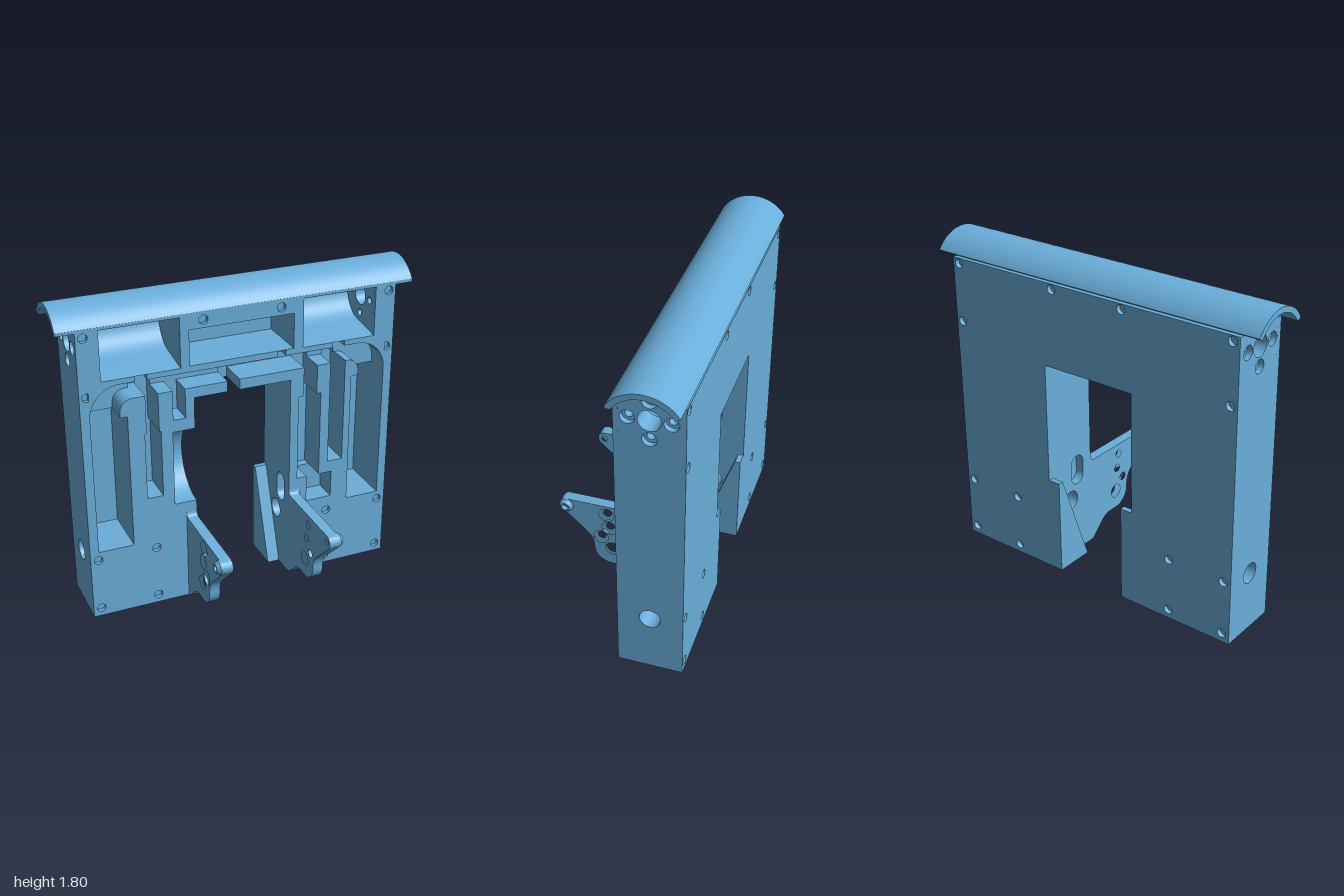
import * as THREE from 'three';
import { mergeGeometries, toCreasedNormals } from 'three/addons/utils/BufferGeometryUtils.js';

const FRONT = -0.085, BACK = -0.435, SKIN = 0.025;
const material = new THREE.MeshStandardMaterial({ color: 0x6aaedb });

function add(group, name, geometry) {
  const mesh = new THREE.Mesh(geometry, material);
  mesh.name = name;
  group.add(mesh);
  return mesh;
}

const poly = (pts) => new THREE.Shape(pts.map(([x, y]) => new THREE.Vector2(x, y)));
const rect = (x0, x1, y0, y1) => poly([[x0, y0], [x1, y0], [x1, y1], [x0, y1]]);

// Cut round holes [x, y, radius] into a shape
function drill(shape, holes) {
  for (const [x, y, r] of holes) {
    shape.holes.push(new THREE.Path().absarc(x, y, r, 0, Math.PI * 2, true));
  }
  return shape;
}

function extrude(shape, depth) {
  const g = new THREE.ExtrudeGeometry(shape, { depth, bevelEnabled: false, curveSegments: 24 });
  return toCreasedNormals(g, 0.5);
}
// Extrude an (x, y) shape from z0 to z1
const alongZ = (shape, z0, z1) => extrude(shape, z1 - z0).translate(0, 0, z0);
// Extrude a (-z, y) profile from x0 to x1
const alongX = (shape, x0, x1) => extrude(shape, x1 - x0).rotateY(Math.PI / 2).translate(x0, 0, 0);
// The same on side s (1 = left, -1 = right)
const sideX = (shape, s, x0, x1) => (s > 0 ? alongX(shape, x0, x1) : alongX(shape, -x1, -x0));

// Upper body profile with a rounded top
function domeProfile() {
  const s = new THREE.Shape();
  s.moveTo(0.11, 1.41);
  s.lineTo(0.41, 1.41);
  s.lineTo(0.41, 1.69);
  s.absarc(0.26, 1.59, 0.18, Math.asin(0.1 / 0.18), Math.PI - Math.asin(0.1 / 0.18), false);
  s.closePath();
  return s;
}

// Upper body profile with a round bay open to the front
function bayProfile() {
  const a = Math.asin(0.1 / 0.18), s = new THREE.Shape();
  s.moveTo(0.085, 1.41);
  s.lineTo(0.41, 1.41);
  s.lineTo(0.41, 1.69);
  s.absarc(0.26, 1.59, 0.18, a, Math.PI - a, false);
  s.absarc(0.26, 1.59, 0.155, Math.PI * 0.8, -Math.PI / 2, true);
  s.closePath();
  return s;
}

function roofProfile() {
  const a = Math.acos(0.175 / 0.21), b = Math.asin(0.1 / 0.18), s = new THREE.Shape();
  s.moveTo(0.435, 1.69);
  s.absarc(0.26, 1.59, 0.21, a, Math.PI - a, false);
  s.lineTo(0.085, 1.69);
  s.absarc(0.26, 1.59, 0.18, Math.PI - b, b, true);
  s.closePath();
  return s;
}

// Bracket arm profile with its holes
function armProfile(boltRadius) {
  const s = new THREE.Shape();
  s.moveTo(0.085, 0);
  s.quadraticCurveTo(0.07, 0, 0.055, 0.015);
  s.lineTo(-0.02, 0.085);
  s.quadraticCurveTo(-0.05, 0.11, -0.09, 0.11);
  s.lineTo(-0.14, 0.11);
  s.absarc(-0.145, 0.21, 0.1, -Math.PI / 2, -Math.PI, true);
  s.quadraticCurveTo(-0.245, 0.27, -0.28, 0.305);
  s.lineTo(-0.427, 0.445);
  s.absarc(-0.4, 0.475, 0.04, -2.3, -Math.PI * 1.5, true);
  s.lineTo(0.05, 0.515);
  s.quadraticCurveTo(0.085, 0.515, 0.085, 0.55);
  s.closePath();
  const bolts = [[-0.17, 0.455], [-0.155, 0.365], [-0.205, 0.29]];
  return drill(s, [...bolts.map(([u, v]) => [u, v, boltRadius]), [-0.14, 0.22, 0.04], [-0.4, 0.475, 0.018]]);
}

// Vertical slot on the inner walls
function slot(shape) {
  const p = new THREE.Path();
  p.absarc(0.2, 0.55, 0.05, 0, Math.PI, false);
  p.absarc(0.2, 0.475, 0.05, Math.PI, Math.PI * 2, false);
  p.closePath();
  shape.holes.push(p);
  return shape;
}

// Middle of the body: a grid of boxes, each rising to the floor of its pocket
function pocketedBody(pockets, x0, x1, y0, y1) {
  const cuts = (a, b, i) => [...new Set([a, b, ...pockets.flatMap((p) => [p[i], p[i + 1]])])]
    .filter((v) => v >= a && v <= b).sort((m, n) => m - n);
  const xs = cuts(x0, x1, 0), ys = cuts(y0, y1, 2), boxes = [];
  const floorAt = (x, y) => pockets.reduce((f, p) =>
    (x > p[0] && x < p[1] && y > p[2] && y < p[3] ? Math.min(f, p[4]) : f), FRONT);
  const z0 = BACK + SKIN;
  for (let j = 0; j < ys.length - 1; j++) {
    const y = (ys[j] + ys[j + 1]) / 2;
    for (let i = 0; i < xs.length - 1;) {
      const floor = floorAt((xs[i] + xs[i + 1]) / 2, y);
      let k = i + 1;
      while (k < xs.length - 1 && floorAt((xs[k] + xs[k + 1]) / 2, y) === floor) k++;
      if (floor > z0) {
        boxes.push(new THREE.BoxGeometry(xs[k] - xs[i], ys[j + 1] - ys[j], floor - z0)
          .translate((xs[i] + xs[k]) / 2, y, (floor + z0) / 2));
      }
      i = k;
    }
  }
  return mergeGeometries(boxes);
}

export function createModel() {
  const model = new THREE.Group();
  const deep = -0.385, mid = -0.27, shallow = -0.22, open = -1;
  const boltR = 0.025, zf = FRONT - SKIN, zb = BACK + SKIN;

  // Pockets and channels: x0, x1, y0, y1, floor
  const pockets = [
    [-0.28, 0.28, 0.41, 1.23, open], [-0.405, -0.28, 0.41, 1.1, open], [0.28, 0.33, 0.41, 0.61, open],
    [0.52, 0.61, 0.68, 1.29, mid], [-0.56, -0.47, 0.68, 1.07, mid],
    [-0.61, 0.61, 1.29, 1.38, shallow], [-0.55, -0.48, 1.07, 1.37, mid],
    [-0.4, -0.33, 1.12, 1.29, shallow], [0.36, 0.44, 1.12, 1.37, mid],
    [0.33, 0.465, 0.61, 1.12, mid], [0.39, 0.545, 0.45, 0.61, shallow],
    [0.2, 0.25, 1.38, 1.41, shallow], [-0.09, 0.435, 1.29, 1.37, mid], [-0.09, -0.02, 1.23, 1.29, mid],
    [0.53, 0.6, 1.29, 1.41, mid], [-0.6, -0.535, 1.29, 1.41, mid],
  ];
  for (const s of [1, -1]) {
    const span = (a, b) => (s > 0 ? [a, b] : [-b, -a]);
    pockets.push([...span(0.65, 0.85), 0.41, 1.19, deep], [...span(0.61, 0.85), 1.19, 1.38, shallow],
      [...span(0.835, 0.885), 1.305, 1.365, zf]);
  }
  add(model, 'pocketedBody', pocketedBody(pockets, -0.9, 0.9, 0.41, 1.41));

  // Back plate with bolt holes
  const back = poly([[-0.9, 0], [-0.28, 0], [-0.28, 1.23], [0.28, 1.23], [0.28, 0], [0.9, 0], [0.9, 1.69], [-0.9, 1.69]]);
  for (const s of [1, -1]) {
    drill(back, [[0.86, 1.66], [0.86, 1.335], [0.22, 1.66], [0.855, 0.36], [0.52, 0.36], [0.855, 0.05], [0.52, 0.05]]
      .map(([x, y]) => [s * x, y, boltR]));
  }
  add(model, 'backPlate', alongZ(back, BACK, zb));

  // Inner wall columns, one with a round recess
  const column = new THREE.Shape();
  column.moveTo(0.085, 0.41);
  column.lineTo(0.41, 0.41);
  column.lineTo(0.41, 1.1);
  column.lineTo(0.085, 1.1);
  column.absarc(0.085, 0.83, 0.22, Math.PI / 2, -Math.PI / 2, true);
  column.closePath();
  add(model, 'recessedInnerWall', alongX(slot(column), -0.405, -0.28));
  add(model, 'slottedInnerWall', alongX(slot(rect(0.085, 0.41, 0.41, 0.61)), 0.28, 0.33));

  // Centre block with a rectangular recess
  const centre = rect(-0.35, 0.35, 1.41, 1.69);
  centre.holes.push(rect(-0.3, 0.295, 1.415, 1.615));
  add(model, 'centreFace', alongZ(drill(centre, [[0.22, 1.66, boltR], [-0.22, 1.66, boltR]]), zf, FRONT));
  const a = Math.asin(0.1 / 0.18), hollow = new THREE.Shape();
  hollow.moveTo(0.11, 1.41);
  hollow.lineTo(0.41, 1.41);
  hollow.lineTo(0.41, 1.69);
  hollow.absarc(0.26, 1.59, 0.18, a, Math.PI - a, false);
  for (const [u, v] of [[0.11, 1.615], [0.385, 1.615], [0.385, 1.415], [0.11, 1.415]]) hollow.lineTo(u, v);
  add(model, 'centreRecess', alongX(hollow, -0.3, 0.295));
  add(model, 'centreCheek', alongX(domeProfile(), 0.295, 0.35));
  add(model, 'centreCheek', alongX(domeProfile(), -0.35, -0.3));

  add(model, 'roof', alongX(roofProfile(), -1, 1));

  for (const s of [1, -1]) {
    const side = new THREE.Group();
    side.name = s > 0 ? 'leftSide' : 'rightSide';
    model.add(side);

    // Round bay and drilled end wall
    add(side, 'roundBay', sideX(bayProfile(), s, 0.35, 0.78));
    const ring = (r) => [[0.26, 1.59, 0.057], ...[0, 1, 2, 3].map((i) => [
      0.26 + 0.105 * Math.cos(i * Math.PI / 2), 1.59 + 0.105 * Math.sin(i * Math.PI / 2), r])];
    add(side, 'endWall', sideX(drill(domeProfile(), ring(0.02)), s, 0.78, 0.87));
    add(side, 'endWallCounterbores', sideX(drill(domeProfile(), ring(0.037)), s, 0.87, 0.9));
    const strip = s > 0 ? rect(0.78, 0.9, 1.41, 1.69) : rect(-0.9, -0.78, 1.41, 1.69);
    add(side, 'endWallFace', alongZ(drill(strip, [[s * 0.86, 1.66, boltR]]), zf, FRONT));

    // Bolt hole beside the arched channel
    const tile = s > 0 ? rect(0.835, 0.885, 1.305, 1.365) : rect(-0.885, -0.835, 1.305, 1.365);
    add(side, 'boltHole', alongZ(drill(tile, [[s * 0.86, 1.335, 0.024]]), zf, FRONT));

    // Rounded corners of the arched channel
    const outer = new THREE.Shape();
    outer.moveTo(s * 0.85, 1.38);
    outer.lineTo(s * 0.85, 1.21);
    outer.absarc(s * 0.68, 1.21, 0.17, s > 0 ? 0 : Math.PI, Math.PI / 2, s < 0);
    outer.closePath();
    add(side, 'archOuterCorner', alongZ(outer, shallow, FRONT));
    const inner = new THREE.Shape();
    inner.moveTo(s * 0.61, 1.19);
    inner.lineTo(s * 0.69, 1.19);
    inner.lineTo(s * 0.69, 1.22);
    inner.absarc(s * 0.62, 1.22, 0.07, s > 0 ? 0 : Math.PI, Math.PI / 2, s < 0);
    inner.lineTo(s * 0.61, 1.29);
    inner.closePath();
    add(side, 'archInnerCorner', alongZ(inner, shallow, FRONT));

    // Leg with a cross hole, bolted face and drilled sole
    add(side, 'legCore', sideX(drill(rect(0.11, 0.41, 0.02, 0.41), [[0.26, 0.34, 0.057]]), s, 0.28, 0.9));
    const face = s > 0 ? rect(0.28, 0.9, 0, 0.41) : rect(-0.9, -0.28, 0, 0.41);
    const bolts = [[0.855, 0.36], [0.52, 0.36], [0.855, 0.05], [0.52, 0.05]].map(([x, y]) => [s * x, y, boltR]);
    add(side, 'legFace', alongZ(drill(face, bolts), zf, FRONT));
    const sole = s > 0 ? rect(0.28, 0.9, 0.11, 0.41) : rect(-0.9, -0.28, 0.11, 0.41);
    const soleHoles = [0.38, 0.59, 0.8].flatMap((x) => [0.19, 0.33].map((u) => [s * x, u, 0.022]));
    add(side, 'legSole', extrude(drill(sole, soleHoles), 0.02).rotateX(-Math.PI / 2));

    // Sloping wedge beside the opening
    add(side, 'wedge', sideX(poly([[0.435, 0], [0.435, 0.55], [0.405, 0.55], [0.21, 0]]), s, 0.21, 0.28));

    // Bracket arm with counterbored holes and a tip boss
    add(side, 'arm', sideX(armProfile(0.023), s, 0.28, 0.32));
    add(side, 'armCounterbores', sideX(armProfile(0.043), s, 0.32, 0.34));
    const boss = new THREE.LatheGeometry([[0.018, 0], [0.04, 0], [0.04, 0.008], [0.026, 0.027], [0.018, 0.027], [0.018, 0]]
      .map(([r, h]) => new THREE.Vector2(r, h)), 24);
    add(side, 'tipBoss', toCreasedNormals(boss, 0.5).rotateZ(-s * Math.PI / 2).translate(s * 0.34, 0.475, 0.4));
  }
  return model;
}
